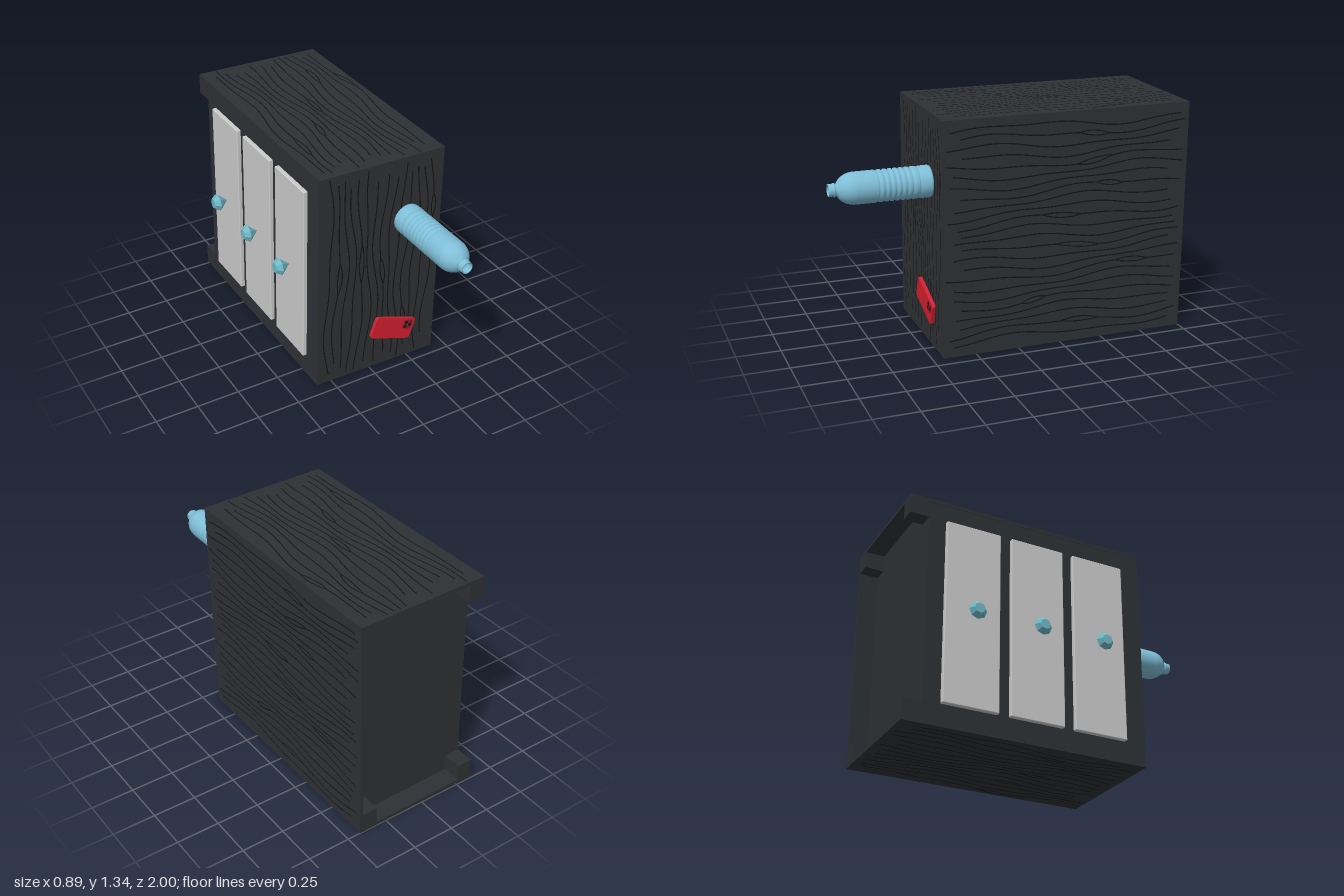
import * as THREE from 'three';
import { mergeGeometries } from 'three/addons/utils/BufferGeometryUtils.js';
import { RoundedBoxGeometry } from 'three/addons/geometries/RoundedBoxGeometry.js';

const mat = (color, extra = {}) => new THREE.MeshStandardMaterial({ color, ...extra });
const wood = mat(0x2e3134);
const grainMat = mat(0x121415, { side: THREE.DoubleSide });
const grey = mat(0xcccccc);
const gemMat = mat(0x70b8c6, { flatShading: true });
const bottleMat = mat(0x7fbfd8, { side: THREE.DoubleSide });
const red = mat(0xd42030);
const darkRed = mat(0x9c1a28);
const black = mat(0x17181a);

// Cabinet size and depth limits
const W = 0.77, H = 1.33, BACK = -1, FRONT = 0.438, T = 0.02, RECESS = 0.11;

function add(parent, name, geometry, material, x = 0, y = 0, z = 0) {
  const mesh = new THREE.Mesh(geometry, material);
  mesh.name = name;
  mesh.position.set(x, y, z);
  parent.add(mesh);
  return mesh;
}

// Box given by its limits on each axis
function slab(parent, name, x0, x1, y0, y1, z0, z1) {
  return add(parent, name, new THREE.BoxGeometry(x1 - x0, y1 - y0, z1 - z0), wood,
    (x0 + x1) / 2, (y0 + y1) / 2, (z0 + z1) / 2);
}

function seeded(seed) {
  return () => {
    seed = (seed * 16807) % 2147483647;
    return seed / 2147483647;
  };
}

// Flat ribbon following x = f(y)
function ribbon(f, y0, y1, steps = 40) {
  const g = new THREE.PlaneGeometry(0.007, 1, 1, steps);
  const p = g.attributes.position;
  for (let i = 0; i < p.count; i++) {
    const y = y0 + (p.getY(i) + 0.5) * (y1 - y0);
    p.setXY(i, p.getX(i) + f(y), y);
  }
  return g;
}

// Wood grain running along y on a w by h panel
function grainGeometry(w, h, seed) {
  const rnd = seeded(seed), lines = [];
  const a = rnd() * 6, b = rnd() * 6;
  const count = Math.round(w / 0.055);
  for (let i = 0; i < count; i++) {
    const base = ((i + 0.5) / count - 0.5) * (w - 0.08), k = i * 0.55;
    const f = (y) => base + 0.02 * Math.sin(y * 5 + a + k) + 0.009 * Math.sin(y * 11 + b - k * 1.7);
    const low = -h / 2 + 0.01 + rnd() * 0.12, high = h / 2 - 0.01 - rnd() * 0.12;
    if (i % 3 === 1) {
      // Line that opens into a narrow knot
      const mid = (rnd() - 0.5) * h * 0.6, half = 0.07 + rnd() * 0.07;
      const open = (y) => 0.014 * Math.max(0, 1 - ((y - mid) / half) ** 2);
      for (const s of [-1, 1]) lines.push(ribbon((y) => f(y) + s * open(y), mid - half, mid + half, 20));
      lines.push(ribbon(f, low, mid - half), ribbon(f, mid + half, high));
    } else {
      lines.push(ribbon(f, low, high));
    }
  }
  return mergeGeometries(lines);
}

function createCabinet() {
  const g = new THREE.Group();
  g.name = 'cabinet';
  const w = W / 2, h = H / 2, e = 0.0008;

  // Carcass with an open recess at the foot end
  slab(g, 'carcass', -w + 0.002, w - T, -h + T, h - T, BACK + RECESS, FRONT - T);
  slab(g, 'upperBoard', -w, w, h - T, h, BACK, FRONT - T);
  slab(g, 'lowerBoard', -w, w, -h, -h + T, BACK, FRONT - T);
  slab(g, 'sideBoard', w - T, w, -h + T, h - T, BACK, FRONT - T);
  slab(g, 'cabinetTop', -w, w, -h, h, FRONT - T, FRONT);

  // Feet in the four corners
  for (const sx of [-1, 1]) for (const sy of [-1, 1]) {
    const x = sx < 0 ? -w + 0.045 : w - T - 0.045;
    add(g, 'foot', new THREE.BoxGeometry(0.09, 0.1, RECESS), wood,
      x, sy * (h - T - 0.05), BACK + RECESS / 2);
  }

  // Grain on the four boards
  const zMid = (BACK + FRONT) / 2, depth = FRONT - BACK;
  add(g, 'topGrain', grainGeometry(W, H, 11), grainMat, 0, 0, FRONT + e);
  add(g, 'upperGrain', grainGeometry(W, depth, 23), grainMat, 0, h + e, zMid).rotation.x = -Math.PI / 2;
  add(g, 'lowerGrain', grainGeometry(W, depth, 37), grainMat, 0, -h - e, zMid).rotation.x = Math.PI / 2;
  add(g, 'sideGrain', grainGeometry(H, depth, 51), grainMat, w + e, 0, zMid)
    .rotation.set(Math.PI / 2, Math.PI / 2, 0);

  // Three drawers with faceted knobs
  const knob = new THREE.LatheGeometry(
    [[0, 0], [0.052, 0.06], [0.03, 0.09], [0, 0.09]].map(([r, y]) => new THREE.Vector2(r, y)), 8);
  for (const z of [-0.628, -0.238, 0.149]) {
    add(g, 'drawerFront', new RoundedBoxGeometry(0.034, 1.075, 0.324, 2, 0.006), grey, -w - 0.005, 0, z);
    add(g, 'drawerKnob', knob, gemMat, -w - 0.022, 0, z).rotation.z = Math.PI / 2;
  }
  return g;
}

function createBottle() {
  const pts = [[0, 0.006], [0.01, 0.006], [0.075, 0.002], [0.086, 0.006], [0.088, 0.015]];
  // Ribbed grip
  for (const y of [0.075, 0.115, 0.147, 0.177, 0.207, 0.237, 0.267, 0.3]) {
    pts.push([0.088, y - 0.009], [0.082, y - 0.004], [0.082, y + 0.004], [0.088, y + 0.009]);
  }
  pts.push([0.088, 0.42]);
  // Domed shoulder
  for (let i = 1; i <= 8; i++) {
    const t = (i / 8) * 1.15;
    pts.push([0.088 * Math.cos(t), 0.42 + 0.105 * Math.sin(t)]);
  }
  // Open neck
  pts.push([0.031, 0.525], [0.038, 0.527], [0.038, 0.535], [0.034, 0.537], [0.034, 0.562], [0.029, 0.562], [0.028, 0.525]);
  const bottle = new THREE.Group();
  bottle.name = 'bottle';
  add(bottle, 'bottleBody', new THREE.LatheGeometry(pts.map(([r, y]) => new THREE.Vector2(r, y)), 40), bottleMat);
  bottle.rotation.x = Math.PI / 2;
  bottle.position.set(0.22, 0.957, FRONT);
  return bottle;
}

// Extruded rounded rectangle
function roundedPlate(w, h, r, depth) {
  const s = new THREE.Shape(), x = w / 2, y = h / 2;
  s.absarc(x - r, y - r, r, 0, Math.PI / 2);
  s.absarc(-x + r, y - r, r, Math.PI / 2, Math.PI);
  s.absarc(-x + r, -y + r, r, Math.PI, Math.PI * 1.5);
  s.absarc(x - r, -y + r, r, Math.PI * 1.5, Math.PI * 2);
  return new THREE.ExtrudeGeometry(s, { depth, bevelEnabled: false, curveSegments: 6 });
}

function createPhone() {
  const phone = new THREE.Group();
  phone.name = 'phone';
  add(phone, 'phoneBody', roundedPlate(0.274, 0.132, 0.014, 0.021), red);
  add(phone, 'cameraPlate', roundedPlate(0.06, 0.06, 0.014, 0.002), darkRed, 0.092, 0.027, 0.021);
  const lens = new THREE.CylinderGeometry(0.011, 0.011, 0.004, 20).rotateX(Math.PI / 2);
  for (const [x, y] of [[-0.014, 0.014], [-0.014, -0.014], [0.014, 0]]) {
    add(phone, 'cameraLens', lens, black, 0.092 + x, 0.027 + y, 0.023);
  }
  const flash = new THREE.CylinderGeometry(0.005, 0.005, 0.002, 12).rotateX(Math.PI / 2);
  add(phone, 'cameraFlash', flash, black, 0.108, 0.046, 0.0235);
  phone.rotation.z = -0.345;
  phone.position.set(0.142, 0.244, FRONT);
  return phone;
}

export function createModel() {
  const model = new THREE.Group();
  model.name = 'model';
  // The cabinet leans by about one degree
  const cabinet = createCabinet();
  cabinet.rotation.z = -0.0175;
  cabinet.position.set(0.05, 0.673, 0);
  model.add(cabinet, createBottle(), createPhone());
  return model;
}
